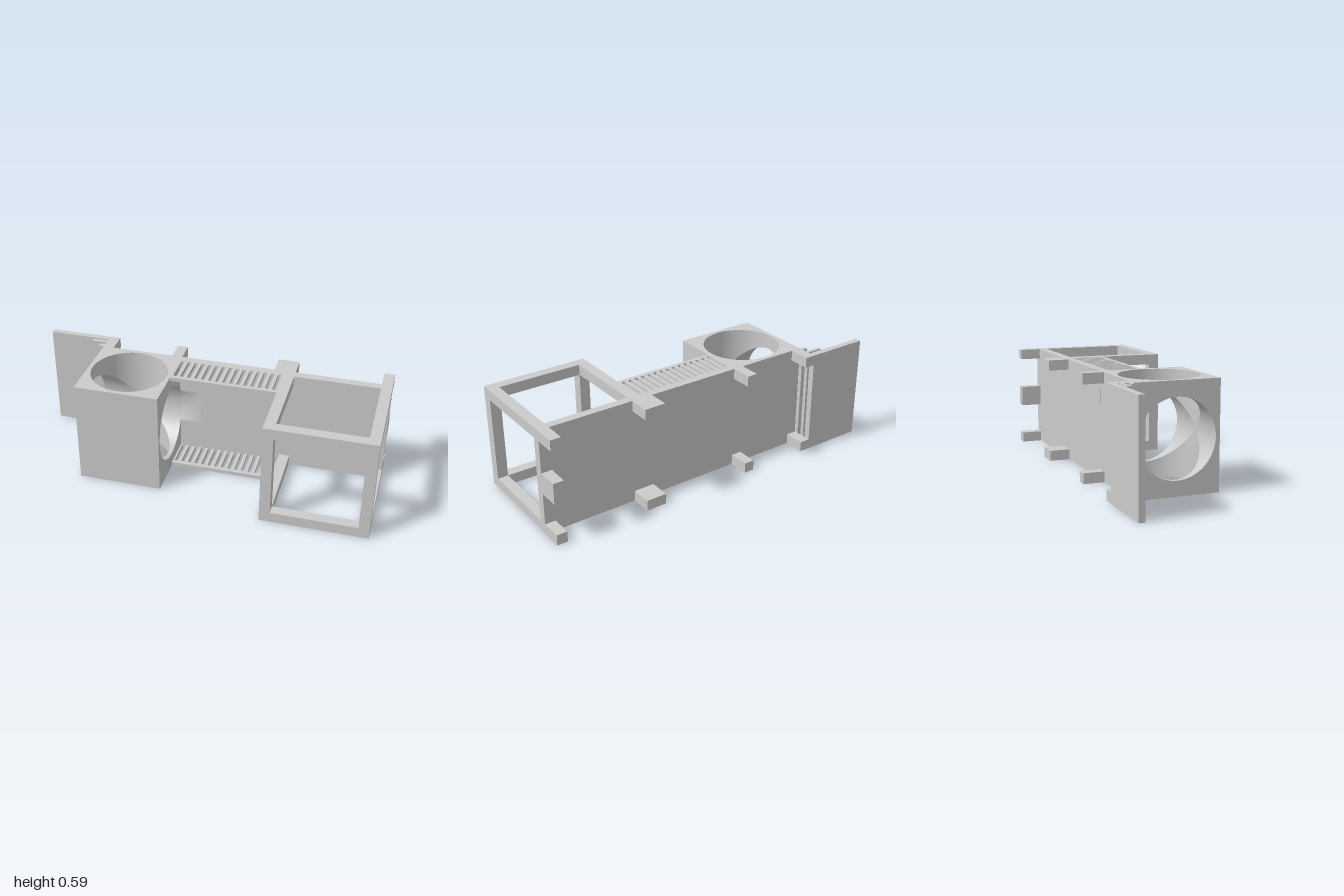
import * as THREE from 'three';

const H = 0.589, MID = H / 2;          // overall height
const BACK = -0.235, INNER = -0.188;   // back panel faces
const BEAM = 0.059, R = 0.212;         // beam thickness, tunnel radius

export function createModel() {
  const root = new THREE.Group();
  const grey = new THREE.MeshStandardMaterial({ color: 0xcccccc });
  const thin = new THREE.MeshStandardMaterial({ color: 0xcccccc, side: THREE.DoubleSide });

  // box given by its extents
  const box = (name, x0, x1, y0, y1, z0, z1, parent = root) => {
    const m = new THREE.Mesh(new THREE.BoxGeometry(x1 - x0, y1 - y0, z1 - z0), grey);
    m.position.set((x0 + x1) / 2, (y0 + y1) / 2, (z0 + z1) / 2);
    m.name = name;
    parent.add(m);
    return m;
  };
  const group = (name) => {
    const g = new THREE.Group();
    g.name = name;
    root.add(g);
    return g;
  };

  // back panel, with a shallow groove that fades away from the tunnel
  const px = -0.179, grooveEnd = -0.06, len = grooveEnd - px, depth = INNER - BACK;
  box('backPanel', grooveEnd, 1, 0, H, BACK, INNER);
  const grooveGeo = new THREE.BoxGeometry(len, H, depth, 8, 90, 1);
  const gp = grooveGeo.attributes.position;
  for (let i = 0; i < gp.count; i++) {
    if (gp.getZ(i) < 0) continue;
    const y = gp.getY(i);
    const cut = Math.max(0, Math.sqrt(Math.max(0, R * R - y * y)) + INNER);
    gp.setZ(i, depth / 2 - cut * (0.5 - gp.getX(i) / len));
  }
  grooveGeo.computeVertexNormals();
  const groove = new THREE.Mesh(grooveGeo, grey);
  groove.name = 'groovedPanel';
  groove.position.set((px + grooveEnd) / 2, MID, (BACK + INNER) / 2);
  root.add(groove);

  // block pierced by two crossing round tunnels
  const block = group('tunnelBlock');
  const half = 0.2345;
  block.position.set(px - half, MID, 0);
  for (let k = 0; k < 4; k++) {
    const out = k % 2 ? half : MID;    // distance of this face from the centre
    const w = k % 2 ? MID : half;
    const side = new THREE.Group();
    side.name = 'piercedSide';
    side.rotation.z = k * Math.PI / 2;

    const s = new THREE.Shape([[-w, -half], [w, -half], [w, half], [-w, half]]
      .map(([x, y]) => new THREE.Vector2(x, y)));
    s.holes.push(new THREE.Path().absarc(0, 0, R, 0, Math.PI * 2, true));
    const face = new THREE.Mesh(new THREE.ShapeGeometry(s, 64), grey);
    face.name = 'piercedFace';
    face.rotation.x = -Math.PI / 2;
    face.position.y = out;

    // tunnel wall, mitred where the two tunnels meet
    const geo = new THREE.CylinderGeometry(R, R, 2 * out, 64, 1, true);
    const p = geo.attributes.position;
    for (let i = 0; i < p.count; i++) if (p.getY(i) < 0) p.setY(i, Math.abs(p.getX(i)));
    const wall = new THREE.Mesh(geo, thin);
    wall.name = 'tunnelWall';
    side.add(face, wall);
    block.add(side);
  }
  for (const s of [1, -1]) {
    const face = new THREE.Mesh(new THREE.PlaneGeometry(2 * half, H), grey);
    face.name = s > 0 ? 'blockFront' : 'blockBack';
    face.position.z = s * half;
    face.rotation.y = s > 0 ? 0 : Math.PI;
    block.add(face);
  }

  // slatted shelves at the top and bottom of the middle bay
  const sx0 = px, sx1 = 0.411, count = 15, pitch = (sx1 - sx0) / count, t = 0.022;
  for (const y of [0, H - t]) {
    const g = group(y ? 'upperGrille' : 'lowerGrille');
    box('grilleRail', sx0, sx1, y, y + t, -0.024, 0, g);
    for (let i = 0; i <= count; i++) {
      const x = sx0 + i * pitch;
      box('slat', Math.max(sx0, x - 0.01), Math.min(sx1, x + 0.01), y, y + t, INNER, -0.024, g);
    }
  }

  // open cube frame
  const frame = group('openFrame');
  const fx0 = 0.411, fx1 = 1, fz = 0.353;
  for (const x of [fx0, fx1 - BEAM]) {
    box('frontPost', x, x + BEAM, BEAM, H - BEAM, fz - BEAM, fz, frame);
    for (const y of [0, H - BEAM]) box('sideBeam', x, x + BEAM, y, y + BEAM, INNER, fz - BEAM, frame);
  }
  for (const y of [0, H - BEAM]) box('frontBeam', fx0, fx1, y, y + BEAM, fz - BEAM, fz, frame);

  // brackets standing off the back
  const brackets = group('brackets');
  for (const [x0, x1] of [[-0.648, -0.589], [-0.238, -0.179], [0.352, 0.47], [0.941, 1]])
    for (const y of [0, H - BEAM])
      box('bracket', x0, x1, y, y + BEAM, -0.353, BACK, brackets);
  box('middleBracket', 0.941, 1, 0.236, 0.353, -0.353, BACK, brackets);

  // layered upright leaves at the far end
  const leaves = group('leaves');
  for (const [x0, z0, z1] of [[-1, -0.353, -0.318], [-0.738, -0.304, -0.282], [-0.68, -0.258, BACK]])
    box('leaf', x0, -0.648, 0, H, z0, z1, leaves);

  return root;
}
